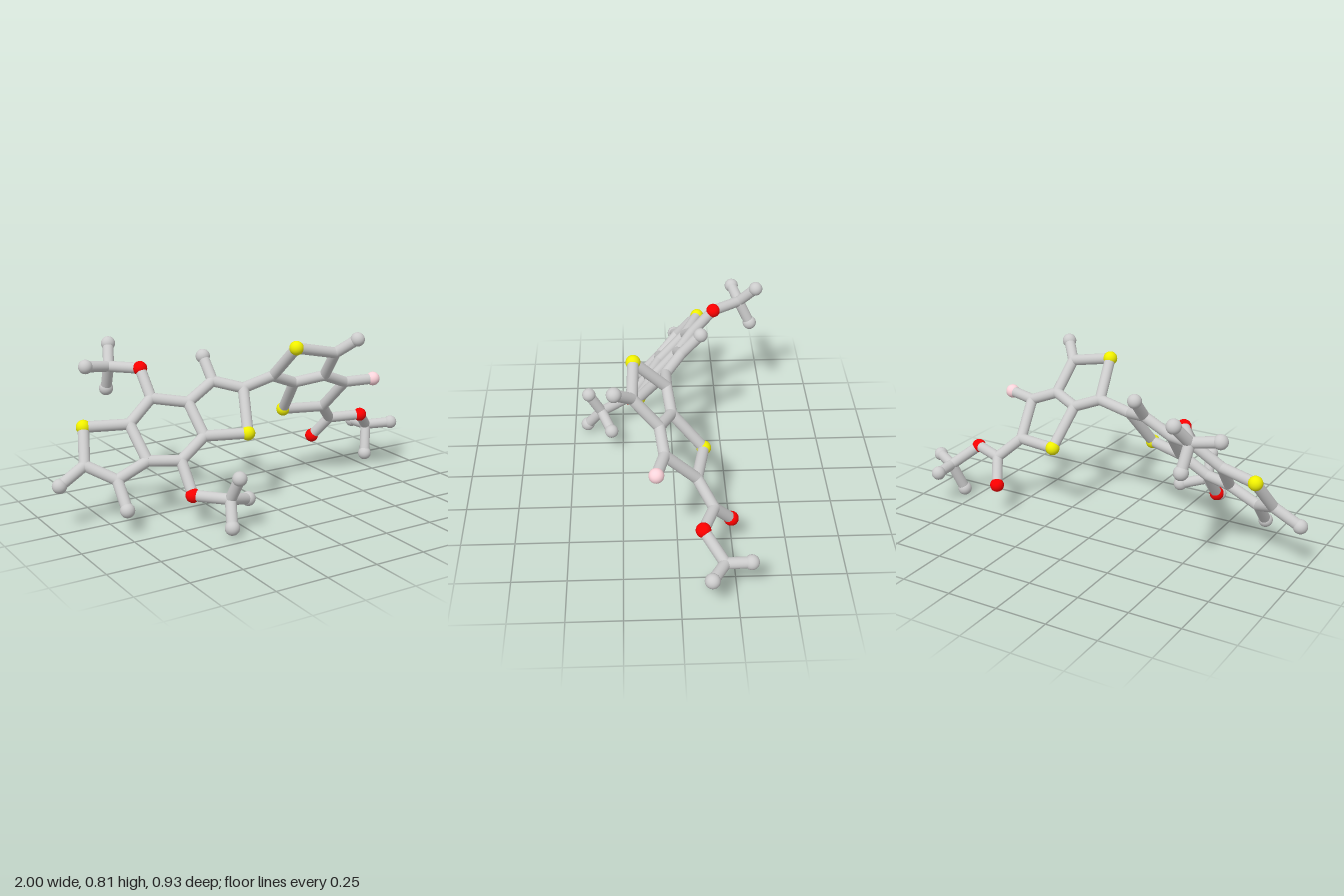
import * as THREE from 'three';

const BALL = 0.034, ROD = 0.026;
const material = (color) => new THREE.MeshStandardMaterial({ color });
const materials = {
  carbon: material(0xcccccc),
  oxygen: material(0xff0000),
  sulfur: material(0xf0f000),
  fluorine: material(0xffd5dc),
};

// Atom positions: [x, y, z]; the first letter of a key gives the kind
// (C ring or branching carbon, M end carbon, O oxygen, S sulfur, F fluorine)
const atoms = {
  // three fused rings on the right
  S1: [-0.795, 0.43, -0.155], C1: [-0.842, 0.285, -0.05], C2: [-0.73, 0.225, 0.05],
  C3: [-0.58, 0.29, 0.055], C4: [-0.6, 0.433, -0.08], C5: [-0.47, 0.53, -0.113],
  C6: [-0.32, 0.508, -0.03], C7: [-0.305, 0.373, 0.092], C8: [-0.44, 0.285, 0.115],
  C9: [-0.18, 0.588, -0.045], C10: [-0.06, 0.555, 0.035], S2: [-0.115, 0.376, 0.166],
  M1: [-0.97, 0.214, -0.038], M2: [-0.73, 0.111, 0.147], M3: [-0.18, 0.69, -0.136],
  // upper and lower branched side chains
  O1: [-0.472, 0.651, -0.216], C11: [-0.57, 0.645, -0.353],
  M4: [-0.7, 0.664, -0.325], M5: [-0.532, 0.737, -0.432], M6: [-0.56, 0.524, -0.411],
  O2: [-0.44, 0.15, 0.222], C12: [-0.325, 0.151, 0.358],
  M7: [-0.313, 0.263, 0.418], M8: [-0.36, 0.047, 0.432], M9: [-0.2, 0.115, 0.306],
  // two fused rings on the left
  C13: [0.105, 0.592, 0.035], S3: [0.137, 0.752, 0.187], C14: [0.355, 0.705, 0.195],
  C15: [0.378, 0.567, 0.076], C16: [0.24, 0.538, 0.018], C17: [0.515, 0.512, 0.058],
  C18: [0.487, 0.357, -0.088], S4: [0.275, 0.364, -0.13],
  M10: [0.425, 0.776, 0.272], F1: [0.66, 0.518, 0.097],
  // end chain
  C19: [0.583, 0.264, -0.16], O3: [0.532, 0.155, -0.243], O4: [0.738, 0.272, -0.103],
  C20: [0.848, 0.178, -0.193],
  M11: [0.965, 0.189, -0.13], M12: [0.81, 0.036, -0.145], M13: [0.842, 0.175, -0.308],
};

// Each chain is a run of bonded atoms
const chains = {
  rightRings: ['C1 S1 C4 C3 C2 C1', 'C4 C5 C6 C7 C8 C3', 'C6 C9 C10 S2 C7', 'C1 M1', 'C2 M2', 'C9 M3'],
  upperSideChain: ['C5 O1 C11 M4', 'M5 C11 M6'],
  lowerSideChain: ['C8 O2 C12 M7', 'M8 C12 M9'],
  ringLink: ['C10 C13'],
  leftRings: ['C13 S3 C14 C15 C16 C13', 'C15 C17 C18 S4 C16', 'C14 M10', 'C17 F1'],
  endChain: ['C18 C19 O4 C20 M11', 'C19 O3', 'M12 C20 M13'],
};

const kinds = {
  C: ['carbonJoint', 'carbon', ROD], M: ['carbonEnd', 'carbon', BALL],
  O: ['oxygenBall', 'oxygen', BALL], S: ['sulfurBall', 'sulfur', BALL],
  F: ['fluorineBall', 'fluorine', BALL],
};

const ballGeometry = new THREE.SphereGeometry(1, 32, 20);
const rodGeometry = new THREE.CylinderGeometry(ROD, ROD, 1, 28);
const UP = new THREE.Vector3(0, 1, 0);

function makeAtom(key) {
  const [name, kind, radius] = kinds[key[0]];
  const ball = new THREE.Mesh(ballGeometry, materials[kind]);
  ball.name = name;
  ball.position.fromArray(atoms[key]);
  ball.scale.setScalar(radius);
  return ball;
}

function makeBond(from, to) {
  const a = new THREE.Vector3(...atoms[from]), b = new THREE.Vector3(...atoms[to]);
  const rod = new THREE.Mesh(rodGeometry, materials.carbon);
  rod.name = 'bond';
  rod.position.copy(a).lerp(b, 0.5);
  rod.scale.y = a.distanceTo(b);
  rod.quaternion.setFromUnitVectors(UP, b.sub(a).normalize());
  return rod;
}

export function createModel() {
  const model = new THREE.Group();
  model.name = 'molecule';
  const placed = new Set();
  for (const [name, runs] of Object.entries(chains)) {
    const part = new THREE.Group();
    part.name = name;
    for (const run of runs) {
      const keys = run.split(' ');
      keys.forEach((key, i) => {
        if (!placed.has(key)) part.add(makeAtom(key));
        placed.add(key);
        if (i > 0) part.add(makeBond(keys[i - 1], key));
      });
    }
    model.add(part);
  }
  return model;
}
